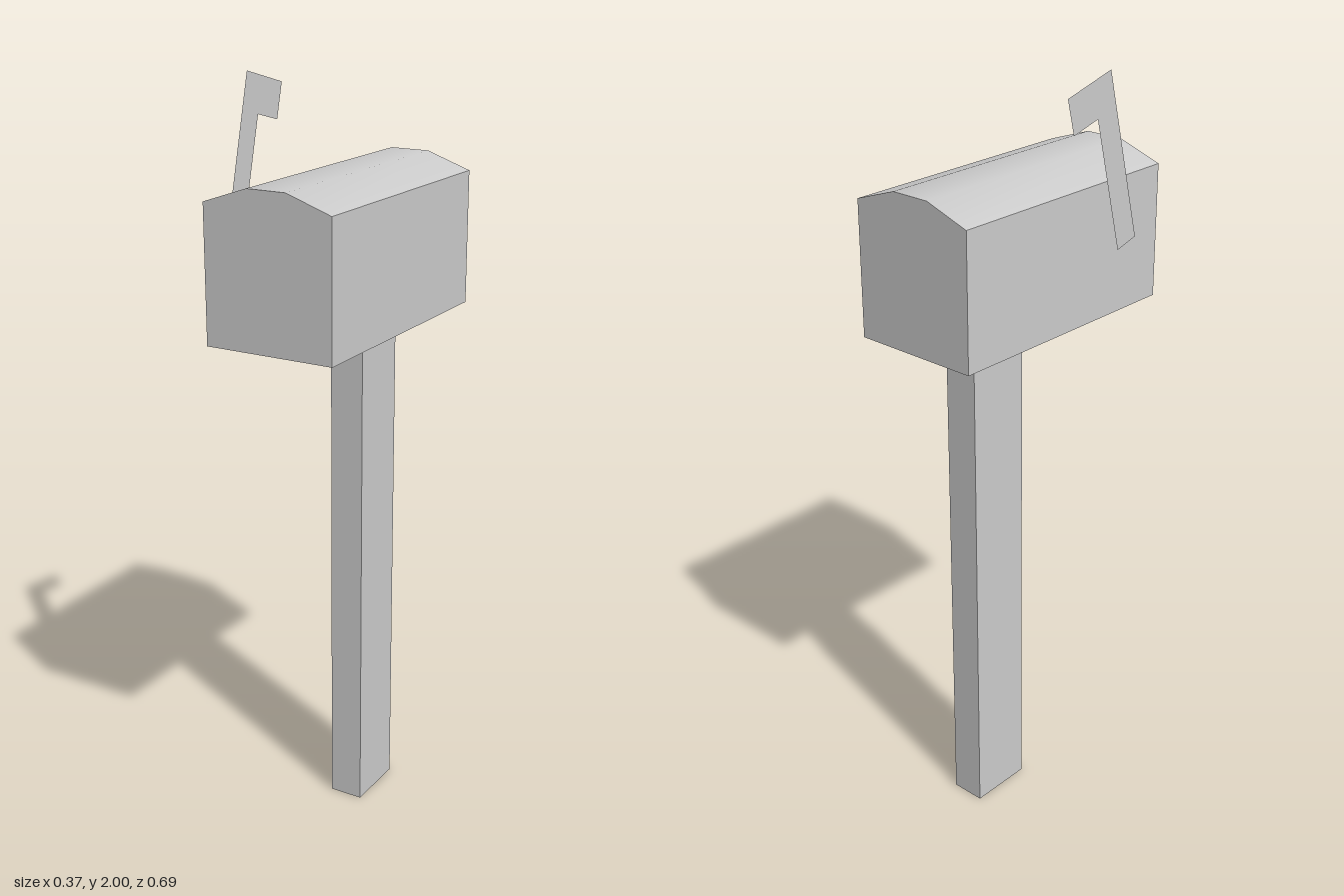
import * as THREE from 'three';
import { toCreasedNormals } from 'three/addons/utils/BufferGeometryUtils.js';

const shapeFrom = (points) => new THREE.Shape(points.map(([x, y]) => new THREE.Vector2(x, y)));

export function createModel() {
  const model = new THREE.Group();
  const grey = new THREE.MeshStandardMaterial({ color: 0xcccccc });
  const add = (name, geometry, material = grey) => {
    const mesh = new THREE.Mesh(geometry, material);
    mesh.name = name;
    model.add(mesh);
    return mesh;
  };

  // Post: plain rectangular timber, set behind the middle of the box
  const postHeight = 1.382;
  add('post', new THREE.BoxGeometry(0.092, postHeight, 0.174))
    .position.set(0.01, postHeight / 2, -0.106);

  // Box: flat sides and a three-facet arched roof, softly shaded across the arch
  const length = 0.69;
  const profile = shapeFrom([
    [-0.173, 0], [0.173, 0], [0.173, 0.346],
    [0.053, 0.387], [-0.053, 0.387], [-0.173, 0.346],
  ]);
  const boxGeometry = new THREE.ExtrudeGeometry(profile, { depth: length, bevelEnabled: false });
  add('mailbox', toCreasedNormals(boxGeometry, 0.6))
    .position.set(0.01, postHeight, -length / 2);

  // Flag: paper-thin plate beside the box, drawn from its top corner and leaning back 15 degrees
  const flagShape = shapeFrom([
    [0, 0], [0, -0.442], [-0.07, -0.442], [-0.07, -0.092], [-0.158, -0.092], [-0.158, 0],
  ]);
  const flagGeometry = new THREE.ShapeGeometry(flagShape)
    .rotateZ(THREE.MathUtils.degToRad(14.7))
    .rotateY(-Math.PI / 2);
  const thin = new THREE.MeshStandardMaterial({ color: 0xcccccc, side: THREE.DoubleSide });
  add('flag', flagGeometry, thin).position.set(-0.183, 2, 0.121);

  return model;
}
